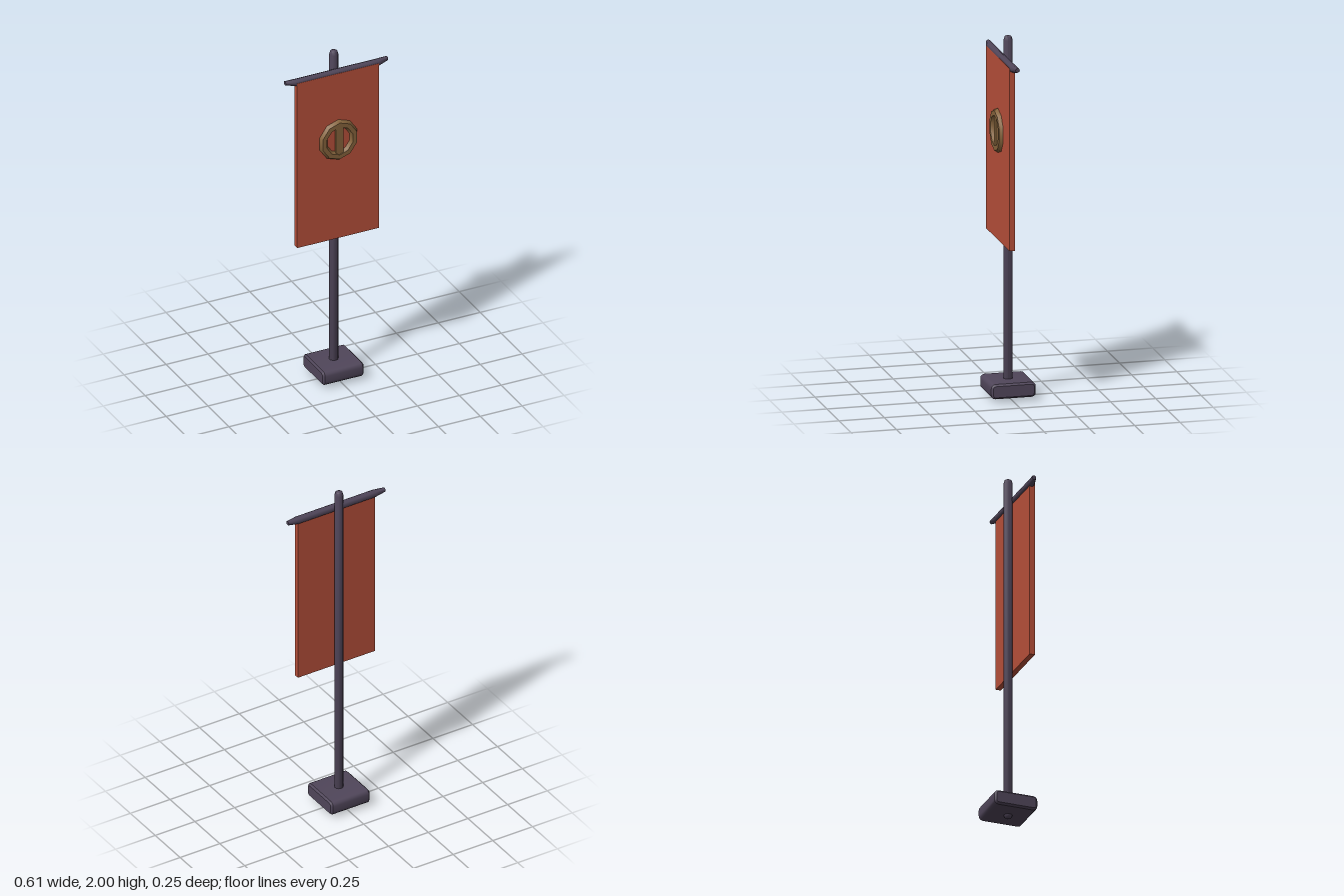
import * as THREE from 'three';
import { toCreasedNormals } from 'three/addons/utils/BufferGeometryUtils.js';

export function createModel() {
  const group = new THREE.Group();
  const iron = new THREE.MeshStandardMaterial({ color: 0x50465a });
  iron.name = 'dark iron';
  const cloth = new THREE.MeshStandardMaterial({ color: 0xb8503a });
  cloth.name = 'red cloth';
  const bronze = new THREE.MeshStandardMaterial({ color: 0x86643c });
  bronze.name = 'bronze';

  const add = (name, geometry, material, x = 0, y = 0, z = 0) => {
    const mesh = new THREE.Mesh(geometry, material);
    mesh.name = name;
    mesh.position.set(x, y, z);
    group.add(mesh);
    return mesh;
  };

  // Pole with a rounded tip and a small nub below the base
  const profile = [[0, 0], [0.018, 0.006], [0.025, 0.022], [0.025, 1.972], [0.019, 1.992], [0, 2]];
  const pole = new THREE.LatheGeometry(profile.map(([r, y]) => new THREE.Vector2(r, y)), 10);
  add('pole', toCreasedNormals(pole, 0.9), iron);

  // Foot block: rounded front and back edges, small bevel at the sides
  const w = 0.113, h = 0.031, c = 0.016;
  const foot = new THREE.Shape();
  foot.moveTo(-w + c, -h);
  foot.lineTo(w - c, -h);
  foot.quadraticCurveTo(w, -h, w, -h + c);
  foot.lineTo(w, h - c);
  foot.quadraticCurveTo(w, h, w - c, h);
  foot.lineTo(-w + c, h);
  foot.quadraticCurveTo(-w, h, -w, h - c);
  foot.lineTo(-w, -h + c);
  foot.quadraticCurveTo(-w, -h, -w + c, -h);
  const base = new THREE.ExtrudeGeometry(foot, {
    depth: 0.226, bevelEnabled: true, bevelThickness: 0.01, bevelSize: 0.01, bevelSegments: 1, curveSegments: 3,
  });
  base.translate(0, 0, -0.113).rotateY(Math.PI / 2);
  add('base', toCreasedNormals(base, 0.7), iron, 0, 0.061, 0);

  // Crossbar, its ends tapering towards the upper back edge
  const bar = new THREE.CylinderGeometry(0.021, 0.021, 0.61, 8, 10).rotateZ(Math.PI / 2);
  const p = bar.attributes.position;
  for (let i = 0; i < p.count; i++) {
    const t = Math.max(0, (Math.abs(p.getX(i)) - 0.244) / 0.061);
    const s = 1 - 0.42 * t;
    p.setY(i, 0.021 + (p.getY(i) - 0.021) * s - 0.002 * t);
    p.setZ(i, -0.021 + (p.getZ(i) + 0.021) * s + 0.002 * t);
  }
  bar.computeVertexNormals();
  add('crossbar', toCreasedNormals(bar, 0.9), iron, 0, 1.877, 0.035);

  // Hanging cloth
  add('banner', new THREE.BoxGeometry(0.487, 1.01, 0.03), cloth, -0.002, 1.375, 0.041);

  // Emblem: faceted ring with an upright bar
  const ring = new THREE.TorusGeometry(0.093, 0.025, 6, 10);
  ring.rotateZ(Math.PI / 10).scale(1, 1.05, 1);
  add('emblemRing', toCreasedNormals(ring, 0.8), bronze, 0, 1.475, 0.054);
  add('emblemBar', new THREE.BoxGeometry(0.042, 0.19, 0.026), bronze, 0, 1.475, 0.06);

  return group;
}
